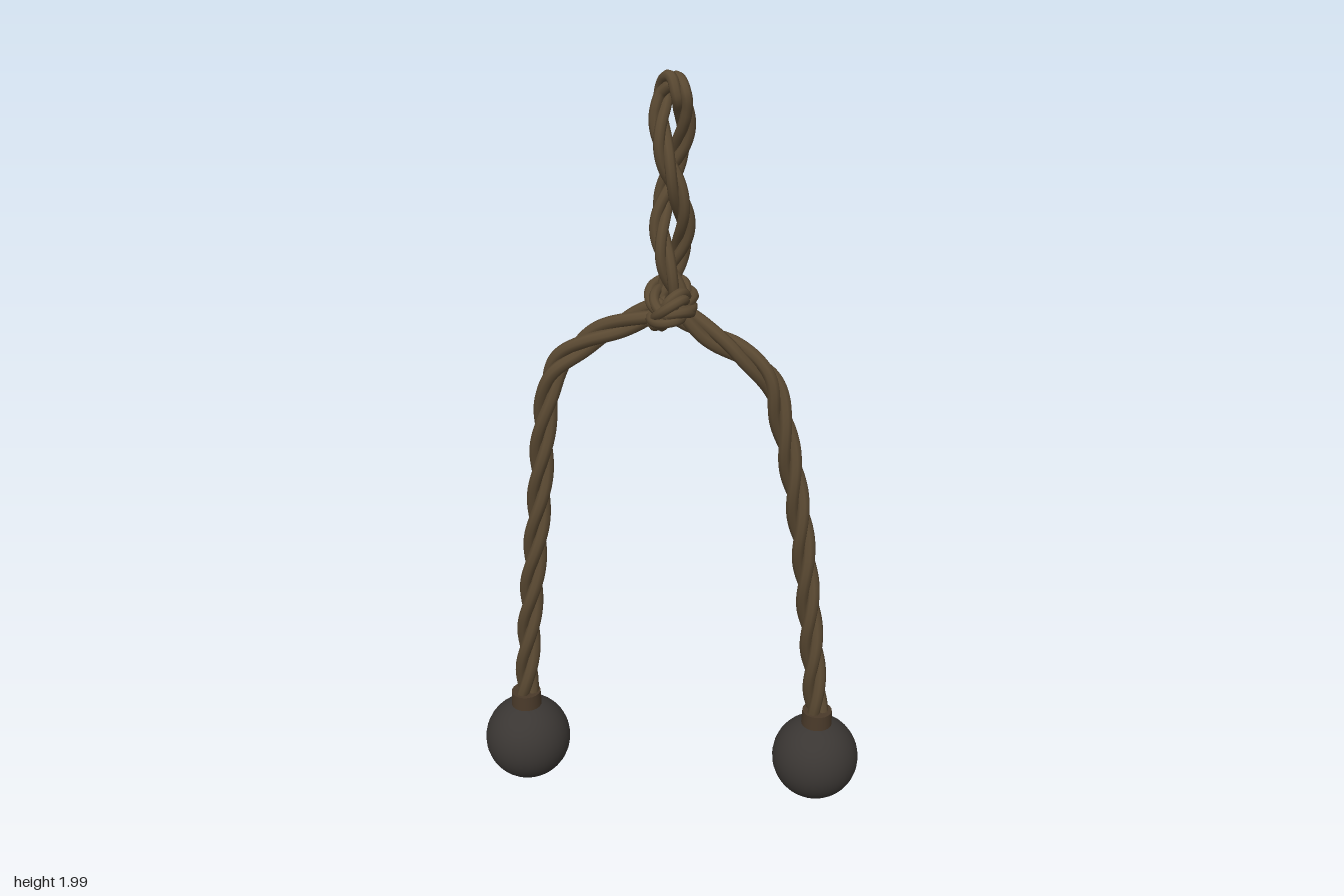
import * as THREE from 'three';

const ropeMat = new THREE.MeshStandardMaterial({ color: 0x5a4932 });
const collarMat = new THREE.MeshStandardMaterial({ color: 0x4a3a2a });
const ballMat = new THREE.MeshStandardMaterial({ color: 0x3a3633 });
ropeMat.side = THREE.DoubleSide;

const V = (x, y, z) => new THREE.Vector3(x, y, z);

// Rope laid from several strands twisted round a guide curve
function twistedRope(name, points, { strands = 3, offset, radius, pitch, segments, closed = false }) {
  const rope = new THREE.Group();
  rope.name = name;
  const guide = new THREE.CatmullRomCurve3(points, closed);
  guide.arcLengthDivisions = 400;
  const frames = guide.computeFrenetFrames(segments, closed);
  const turns = Math.round(guide.getLength() / pitch * strands) / strands;
  for (let s = 0; s < strands; s++) {
    const line = [];
    for (let i = 0; i <= segments; i++) {
      const a = 2 * Math.PI * (s / strands + turns * i / segments);
      line.push(guide.getPointAt(i / segments)
        .addScaledVector(frames.normals[i], offset * Math.cos(a))
        .addScaledVector(frames.binormals[i], offset * Math.sin(a)));
    }
    const strand = new THREE.Mesh(
      new THREE.TubeGeometry(new THREE.CatmullRomCurve3(line), segments * 2, radius, 8), ropeMat);
    strand.name = name + 'Strand';
    rope.add(strand);
  }
  return rope;
}

// Weight with the collar that grips the rope end
function weight(name, x) {
  const g = new THREE.Group();
  g.name = name;
  const ball = new THREE.Mesh(new THREE.SphereGeometry(0.118, 32, 24), ballMat);
  ball.name = 'ball';
  ball.position.set(x, 0.118, 0);
  const collar = new THREE.Mesh(new THREE.CylinderGeometry(0.04, 0.042, 0.05, 20), collarMat);
  collar.name = 'collar';
  collar.position.set(x, 0.245, 0);
  g.add(ball, collar);
  return g;
}

export function createModel() {
  const model = new THREE.Group();
  model.name = 'ropeWithWeights';
  model.add(weight('rightWeight', -0.403), weight('leftWeight', 0.403));

  // Hanging arms, each with its own bend
  const arm = { offset: 0.0165, radius: 0.0165, pitch: 0.42, segments: 90 };
  model.add(twistedRope('rightArm', [
    V(-0.404, 0.23, 0), V(-0.383, 0.5, 0), V(-0.345, 0.85, 0), V(-0.313, 1.15, 0), V(-0.285, 1.245, 0),
    V(-0.205, 1.32, 0), V(-0.11, 1.372, 0), V(0, 1.42, 0)], arm));
  model.add(twistedRope('leftArm', [
    V(0.404, 0.23, 0), V(0.378, 0.5, 0), V(0.335, 0.85, 0), V(0.28, 1.13, 0), V(0.245, 1.24, 0),
    V(0.165, 1.31, 0), V(0.08, 1.36, 0), V(0, 1.42, 0)], arm));

  // Doubled upper rope: up one side, over the top, and back down the other
  const side = [];
  for (let i = 0; i <= 14; i++) {
    const y = 1.41 + i * 0.0375;
    const a = Math.PI * (y - 1.88) / 0.25;
    side.push([0.029 * Math.cos(a), y, 0.029 * Math.sin(a)]);
  }
  const loop = [
    ...side.map(([x, y, z]) => V(x + 0.005, y, z)),
    V(0.006, 1.966, 0),
    ...side.slice().reverse().map(([x, y, z]) => V(0.005 - x, y, -z))];
  model.add(twistedRope('upperLoop', loop, { offset: 0.0125, radius: 0.0135, pitch: 0.3, segments: 130 }));

  // Knot: tilted oval wraps crossing each other
  const knot = new THREE.Group();
  knot.name = 'knot';
  const wraps = [
    { rx: 0.042, rz: 0.07, y: 1.402, tilt: 0.012, roll: 0.014, z: 0.004 },
    { rx: 0.044, rz: 0.074, y: 1.44, tilt: -0.014, roll: -0.012, z: -0.007 },
    { rx: 0.03, rz: 0.045, y: 1.42, tilt: 0.02, roll: 0.035, z: 0.03 }];
  for (const w of wraps) {
    const ring = [];
    for (let i = 0; i < 14; i++) {
      const a = i / 14 * Math.PI * 2;
      ring.push(V(0.003 + w.rx * Math.cos(a), w.y + w.tilt * Math.sin(a) + w.roll * Math.cos(a),
        w.z + w.rz * Math.sin(a)));
    }
    knot.add(twistedRope('knotWrap', ring,
      { offset: 0.0105, radius: 0.0125, pitch: 0.22, segments: 48, closed: true }));
  }
  model.add(knot);
  return model;
}
